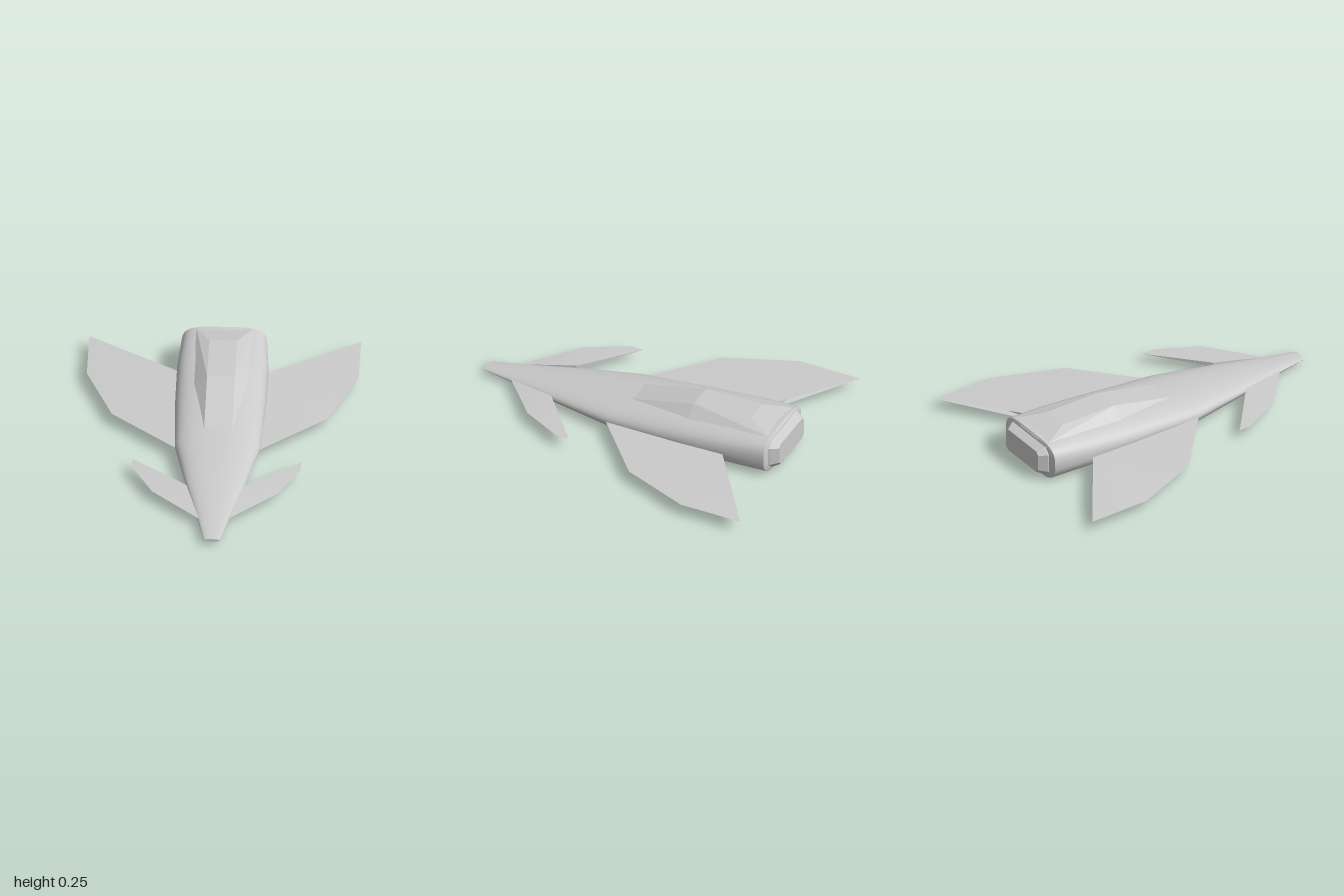
import * as THREE from 'three';
import { toCreasedNormals } from 'three/addons/utils/BufferGeometryUtils.js';

const grey = new THREE.MeshStandardMaterial({ color: 0xcccccc, side: THREE.DoubleSide });

function build(name, points, faces, crease) {
  let g = new THREE.BufferGeometry();
  g.setAttribute('position', new THREE.Float32BufferAttribute(points.flat(), 3));
  g.setIndex(faces.flat());
  g = toCreasedNormals(g, crease);
  const mesh = new THREE.Mesh(g, grey);
  mesh.name = name;
  return mesh;
}

// Skin over closed rings ordered front to back, capped at both ends
function loft(name, rings, crease) {
  const n = rings[0].length, points = rings.flat(), faces = [];
  for (let i = 0; i < rings.length - 1; i++) {
    for (let j = 0; j < n; j++) {
      const a = i * n + j, b = i * n + (j + 1) % n;
      faces.push([a, a + n, b], [b, a + n, b + n]);
    }
  }
  const last = (rings.length - 1) * n;
  for (let j = 1; j < n - 1; j++) {
    faces.push([0, j, j + 1], [last, last + j + 1, last + j]);
  }
  return build(name, points, faces, crease);
}

// Hull section: superelliptic top, flat bottom with rounded bilges
function hullRing([z, w, bottom, mid, top, power]) {
  const ring = [], steps = 20;
  for (let i = 0; i <= steps; i++) {
    const a = Math.PI * i / steps, c = Math.cos(a), s = Math.max(0, Math.sin(a));
    ring.push([
      w * Math.sign(c) * Math.abs(c) ** (2 / power),
      mid + (top - mid) * s ** (2 / power), z]);
  }
  const lower = [[0.94, 0.55], [0.85, 0.27], [0.72, 0.08], [0.59, 0]]
    .map(([x, h]) => [x * w, bottom + (mid - bottom) * h, z]);
  ring.push(...lower.map(([x, y]) => [-x, y, z]), ...lower.reverse());
  return ring;
}

// Rectangle with cut corners, for the engine outlet
function outletRing(z, w, y0, y1, cut) {
  return [[w, y0 + cut], [w, y1 - cut], [w - cut, y1], [cut - w, y1],
    [-w, y1 - cut], [-w, y0 + cut], [cut - w, y0], [w - cut, y0]].map(([x, y]) => [x, y, z]);
}

// Fin: thick at its root, tapering to a sharp outer edge.
// outline runs [x, y, z] from the front root to the back tip; root is the thick rear corner.
function fin(name, side, outline, root, half) {
  const edge = outline.map(([x, y, z]) => [x * side, y, z]);
  const [x, y, z] = root, n = edge.length;
  const points = [...edge, [x * side, y + half, z], [x * side, y - half, z]];
  const faces = [];
  const add = (a, b, c) => faces.push(side > 0 ? [a, b, c] : [a, c, b]);
  for (let i = 0; i < n - 1; i++) {
    add(n, i, i + 1);
    add(n + 1, i + 1, i);
  }
  add(n, n - 1, n + 1);
  add(n, n + 1, 0);
  return build(name, points, faces, 0.2);
}

export function createModel() {
  const model = new THREE.Group();
  model.name = 'spacecraft';

  // Fuselage stations: z, half width, bottom, widest height, top, squareness
  const stations = [
    [1.0, 0.045, 0.025, 0.031, 0.04, 2.4],
    [0.8, 0.09, 0.019, 0.042, 0.065, 2.2],
    [0.5, 0.165, 0.011, 0.058, 0.104, 2.2],
    [0.12, 0.245, 0.002, 0.07, 0.151, 2.3],
    [-0.33, 0.262, 0, 0.08, 0.2, 2.6],
    [-0.63, 0.264, 0, 0.085, 0.222, 3.2],
    [-0.885, 0.246, 0, 0.09, 0.236, 4],
    [-0.895, 0.215, 0.015, 0.09, 0.222, 4],
  ];
  model.add(loft('fuselage', stations.map(hullRing), 0.6));

  // Engine outlet
  model.add(loft('engineOutlet', [
    outletRing(-0.885, 0.2, 0.025, 0.215, 0.035),
    outletRing(-0.9, 0.197, 0.028, 0.21, 0.035),
    outletRing(-0.945, 0.16, 0.05, 0.19, 0.02),
  ], 0.2));

  // Canopy: faceted ridge on the back
  const half = [
    [0.08, 0.155, 0.05], [0.08, 0.25, -0.36], [0.08, 0.255, -0.72],
    [0.16, 0.185, -0.36], [0.16, 0.232, -0.87],
  ];
  const canopy = [...half, ...half.map(([x, y, z]) => [-x, y, z])];
  const sideFaces = [[0, 3, 1], [1, 3, 4], [1, 4, 2]];
  model.add(build('canopy', canopy, [
    ...sideFaces, ...sideFaces.map(([a, b, c]) => [a + 5, c + 5, b + 5]),
    [0, 1, 6], [0, 6, 5], [1, 2, 7], [1, 7, 6], [2, 4, 9], [2, 9, 7],
  ], 0.05));

  // Main wings and foreplanes, mirrored
  for (const [label, side] of [['left', 1], ['right', -1]]) {
    model.add(fin(label + 'Wing', side, [
      [0.235, 0.073, 0.13], [0.62, 0.073, -0.21], [0.78, 0.073, -0.62],
      [0.78, 0.073, -1.0], [0.56, 0.073, -0.78],
    ], [0.255, 0.075, -0.627], 0.022));
    model.add(fin(label + 'Foreplane', side, [
      [0.08, 0.05, 0.81], [0.36, 0.068, 0.565], [0.485, 0.071, 0.32], [0.485, 0.071, 0.24],
    ], [0.165, 0.067, 0.51], 0.014));
  }
  return model;
}
